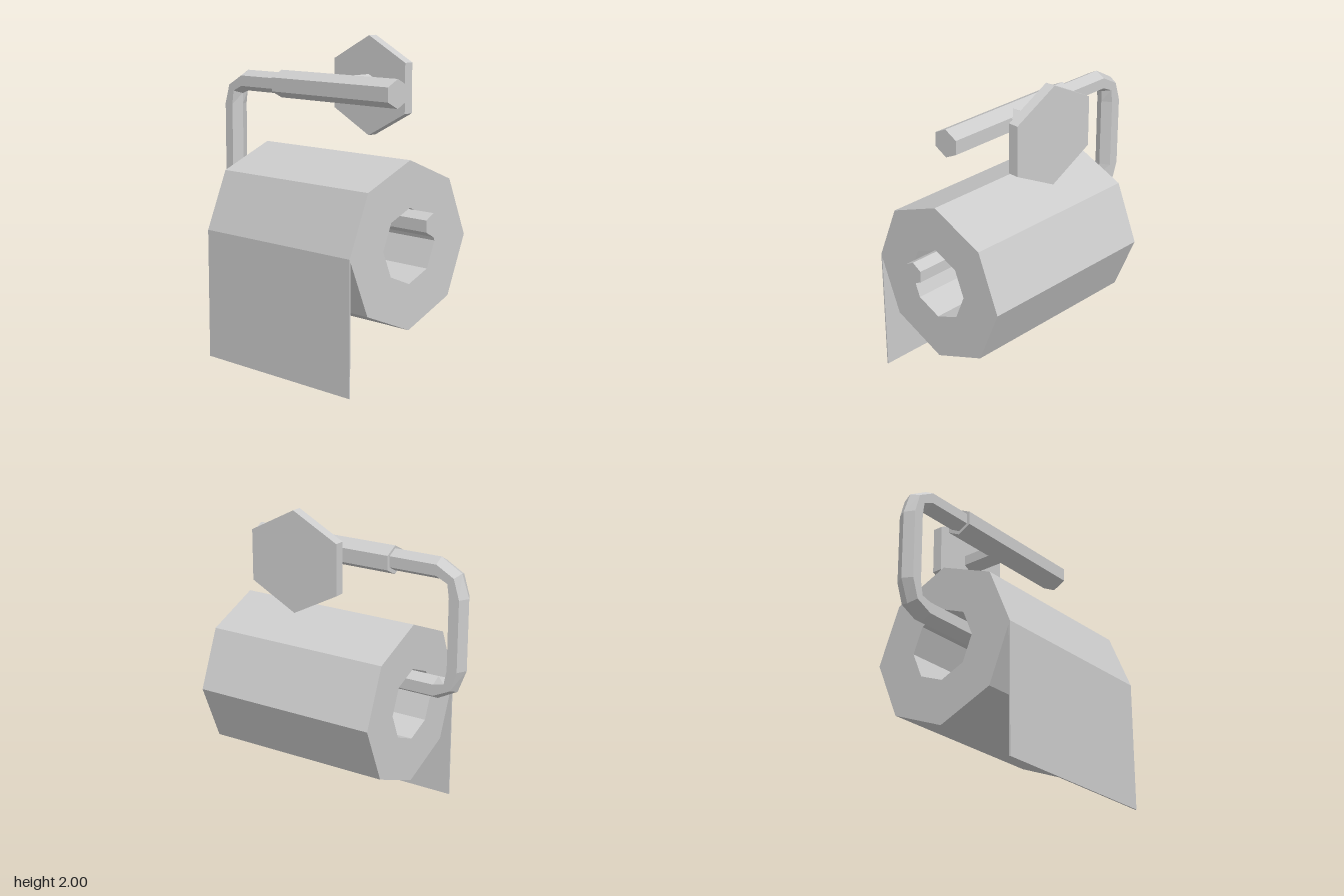
import * as THREE from 'three';

const grey = new THREE.MeshStandardMaterial({ color: 0xcccccc });
grey.name = 'light grey';

// Faceted mesh with hard edges everywhere
function part(name, geometry) {
  const g = geometry.index ? geometry.toNonIndexed() : geometry;
  g.computeVertexNormals();
  const mesh = new THREE.Mesh(g, grey);
  mesh.name = name;
  return mesh;
}

// Hexagonal prism along y: corners on +-x, flats on +-z
function hexPrism(corner, flat, length) {
  return new THREE.CylinderGeometry(1, 1, length, 6)
    .rotateY(Math.PI / 2)
    .scale(corner, 1, flat / Math.cos(Math.PI / 6));
}

// Bent hexagonal bar: stations are [x, y, outward x, outward y, radius]
function bentBar(stations, halfDepth) {
  const pos = [], idx = [], n = 6;
  for (const [x, y, nx, ny, r] of stations) {
    const len = Math.hypot(nx, ny);
    for (let j = 0; j < n; j++) {
      const a = (j / n) * Math.PI * 2, c = (r * Math.cos(a)) / len;
      pos.push(x + nx * c, y + ny * c, (halfDepth * Math.sin(a)) / Math.cos(Math.PI / 6));
    }
  }
  const last = (stations.length - 1) * n;
  for (let i = 0; i < last; i += n) {
    for (let j = 0; j < n; j++) {
      const k = (j + 1) % n;
      idx.push(i + j, i + n + j, i + k, i + k, i + n + j, i + n + k);
    }
  }
  for (let j = 1; j < n - 1; j++) {
    idx.push(0, j, j + 1, last, last + j + 1, last + j);
  }
  const g = new THREE.BufferGeometry();
  g.setAttribute('position', new THREE.Float32BufferAttribute(pos, 3));
  g.setIndex(idx);
  return g;
}

export function createModel() {
  const model = new THREE.Group();
  model.name = 'toiletRollHolder';
  const armY = 1.692, mountX = 0.087;

  // Wall plate and the short post joining it to the arm
  const plate = part('wallPlate', hexPrism(0.31, 0.297, 0.065).rotateZ(Math.PI / 2).rotateY(Math.PI / 2));
  plate.position.set(mountX, armY - 0.002, -0.332);
  const post = part('wallPost', hexPrism(0.066, 0.063, 0.3).rotateZ(Math.PI / 2).rotateY(Math.PI / 2));
  post.position.set(mountX, 1.695, -0.16);

  // Thick sleeve around the upper arm
  const sleeve = part('armSleeve', hexPrism(0.087, 0.085, 0.97).rotateZ(Math.PI / 2));
  sleeve.position.set(0.105, armY, 0);

  // Bar that bends down and back through the roll
  const bar = part('bentBar', bentBar([
    [-0.3, 1.695, 0, 1, 0.067],
    [-0.69, 1.695, 0, 1, 0.067],
    [-0.785, 1.645, -1, 0.9, 0.055],
    [-0.81, 1.54, -1, 0, 0.066],
    [-0.81, 1.1, -1, 0, 0.066],
    [-0.78, 0.995, -1, -0.9, 0.055],
    [-0.69, 0.96, 0, -1, 0.07],
    [0.87, 0.96, 0, -1, 0.07],
  ], 0.062));

  // Hollow eight-sided paper roll
  const half = 0.603, outer = 0.507, inner = 0.227, rollX = 0.088, rollY = 0.81;
  const profile = [[outer, -half], [outer, half], [inner, half], [inner, -half], [outer, -half]]
    .map(([r, y]) => new THREE.Vector2(r, y));
  const roll = part('paperRoll', new THREE.LatheGeometry(profile, 8).rotateZ(-Math.PI / 2));
  roll.position.set(rollX, rollY, 0);

  // Loose sheet hanging from the front
  const sheet = part('hangingSheet', new THREE.BoxGeometry(half * 2, rollY, 0.008));
  sheet.position.set(rollX, rollY / 2, outer - 0.004);

  model.add(plate, post, sleeve, bar, roll, sheet);
  return model;
}
